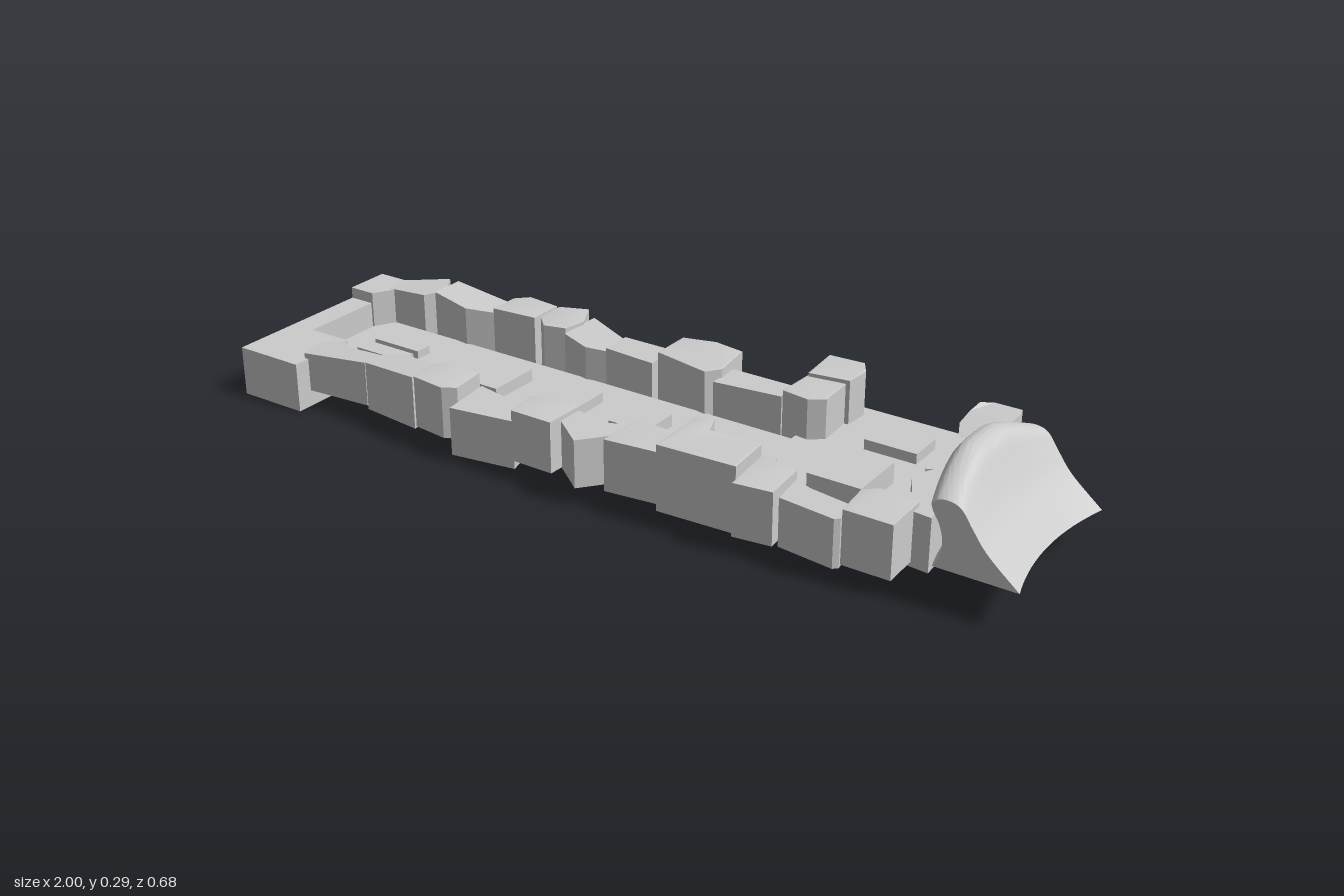
import * as THREE from 'three';
import { toCreasedNormals } from 'three/addons/utils/BufferGeometryUtils.js';

const stone = new THREE.MeshStandardMaterial({ color: 0xcccccc });
stone.name = 'pale stone';

// Upright block from an outline of [x, z] points; top is a height or a rule top(x, z)
function block(name, outline, bottom, top, bevel = 0) {
  const shape = new THREE.Shape(outline.map(([x, z]) => new THREE.Vector2(x, -z)));
  const geo = new THREE.ExtrudeGeometry(shape, {
    depth: 1 - 2 * bevel, bevelEnabled: bevel > 0, bevelSize: bevel, bevelOffset: -bevel,
    bevelThickness: bevel, bevelSegments: 2,
  });
  geo.translate(0, 0, bevel);
  geo.rotateX(-Math.PI / 2);
  const p = geo.attributes.position;
  for (let i = 0; i < p.count; i++) {
    const h = typeof top === 'function' ? top(p.getX(i), p.getZ(i)) : top;
    p.setY(i, bottom + p.getY(i) * (h - bottom));
  }
  const mesh = new THREE.Mesh(toCreasedNormals(geo, 0.5), stone);
  mesh.name = name;
  return mesh;
}

const rect = (x0, x1, z0, z1) => [[x0, z0], [x1, z0], [x1, z1], [x0, z1]];
// Height changing evenly from x0 to x1
const slope = (x0, h0, x1, h1) => (x) => THREE.MathUtils.mapLinear(x, x0, x1, h0, h1);

function floor() {
  return block('floor', [[-0.93, -0.1], [0.28, -0.1], [0.28, -0.335], [0.68, -0.335],
    [0.68, 0.24], [-0.93, 0.24]], 0.045, 0.06);
}

// Low slabs standing on the floor
function slabs() {
  const g = new THREE.Group();
  g.name = 'floorSlabs';
  const add = (x0, x1, z0, z1, h) => g.add(block('slab', rect(x0, x1, z0, z1), 0.055, h));
  add(-0.84, -0.7, 0, 0.043, 0.08);
  add(-0.84, -0.7, 0.06, 0.107, 0.08);
  add(-0.59, -0.55, -0.015, 0.12, 0.08);
  add(-0.55, -0.39, -0.015, 0.12, 0.09);
  add(-0.28, -0.18, -0.015, 0.12, 0.085);
  add(-0.075, 0.025, 0, 0.107, 0.09);
  add(0.13, 0.235, 0, 0.107, 0.085);
  add(0.44, 0.57, -0.235, -0.145, 0.085);
  add(0.44, 0.57, -0.04, 0.107, 0.11);
  // Stepped ledge behind the tallest stone
  add(0.25, 0.375, 0.12, 0.155, 0.13);
  add(0.25, 0.31, 0.155, 0.19, 0.15);
  add(0.31, 0.375, 0.155, 0.19, 0.11);
  return g;
}

function endWall() {
  const g = new THREE.Group();
  g.name = 'endWall';
  g.add(block('frontCorner', rect(-1, -0.82, 0.16, 0.335), 0, 0.122));
  g.add(block('endBeam', rect(-1, -0.935, -0.05, 0.16), 0.03, 0.122));
  g.add(block('backCorner', [[-1, -0.165], [-0.91, -0.165], [-0.9, -0.1], [-0.93, -0.05], [-1, -0.05]], 0.03, 0.15));
  return g;
}

function frontWall() {
  const g = new THREE.Group();
  g.name = 'frontWall';
  const add = (...a) => g.add(block('frontStone', ...a));
  add([[-0.84, 0.22], [-0.8, 0.195], [-0.74, 0.22], [-0.65, 0.225], [-0.65, 0.28], [-0.83, 0.295]], 0.04, slope(-0.83, 0.135, -0.65, 0.15));
  add([[-0.65, 0.225], [-0.6, 0.195], [-0.5, 0.21], [-0.49, 0.295], [-0.65, 0.278]], 0.03, slope(-0.65, 0.15, -0.49, 0.16));
  add([[-0.49, 0.22], [-0.46, 0.19], [-0.37, 0.2], [-0.36, 0.29], [-0.39, 0.31], [-0.48, 0.3]], 0.04, 0.167, 0.006);
  add([[-0.365, 0.2], [-0.21, 0.23], [-0.19, 0.305], [-0.35, 0.33]], 0.018, 0.135);
  add([[-0.2, 0.23], [-0.17, 0.2], [-0.1, 0.195], [-0.08, 0.22], [-0.083, 0.31], [-0.19, 0.31]], 0.04, 0.165, 0.006);
  add([[-0.08, 0.21], [0, 0.23], [0.07, 0.195], [0.07, 0.25], [0, 0.335], [-0.08, 0.275]], 0.04, 0.155);
  add([[0.065, 0.2], [0.09, 0.19], [0.185, 0.2], [0.185, 0.295], [0.06, 0.31]], 0.04, 0.165, 0.006);
  add([[0.19, 0.15], [0.23, 0.14], [0.25, 0.19], [0.375, 0.185], [0.385, 0.3], [0.195, 0.31]], 0.033, 0.192, 0.008);
  add([[0.375, 0.18], [0.47, 0.2], [0.48, 0.31], [0.39, 0.322]], 0.04, 0.165, 0.004);
  add([[0.475, 0.21], [0.52, 0.225], [0.62, 0.24], [0.63, 0.3], [0.62, 0.31], [0.485, 0.295]], 0.035, 0.148);
  add([[0.62, 0.2], [0.65, 0.175], [0.74, 0.18], [0.743, 0.295], [0.63, 0.295]], 0.04, 0.167, 0.008);
  return g;
}

function backWall() {
  const g = new THREE.Group();
  g.name = 'backWall';
  const add = (...a) => g.add(block('backStone', ...a));
  add([[-0.92, -0.165], [-0.82, -0.225], [-0.77, -0.15], [-0.8, -0.1], [-0.91, -0.1]], 0.03, slope(-0.92, 0.15, -0.77, 0.16));
  add([[-0.77, -0.2], [-0.59, -0.2], [-0.59, -0.13], [-0.66, -0.095], [-0.77, -0.11]], 0.03, slope(-0.77, 0.17, -0.59, 0.148));
  add([[-0.59, -0.2], [-0.56, -0.23], [-0.47, -0.22], [-0.47, -0.13], [-0.59, -0.12]], 0.03, 0.165, 0.006);
  add([[-0.47, -0.23], [-0.4, -0.258], [-0.365, -0.19], [-0.375, -0.13], [-0.43, -0.115], [-0.47, -0.155]], 0.025, 0.16, 0.006);
  add([[-0.37, -0.24], [-0.24, -0.19], [-0.24, -0.11], [-0.29, -0.095], [-0.37, -0.12]], 0.01, slope(-0.37, 0.15, -0.24, 0.14));
  add([[-0.24, -0.19], [-0.1, -0.19], [-0.1, -0.1], [-0.24, -0.11]], 0.03, 0.148);
  add([[-0.1, -0.23], [-0.02, -0.252], [0.06, -0.24], [0.075, -0.13], [0.05, -0.095], [-0.1, -0.125]], 0.025, 0.168, 0.008);
  add([[0.07, -0.185], [0.24, -0.185], [0.24, -0.12], [0.07, -0.1]], 0.03, 0.145);
  add([[0.245, -0.23], [0.34, -0.235], [0.345, -0.14], [0.31, -0.115], [0.24, -0.125]], 0.025, 0.16, 0.008);
  add([[0.24, -0.335], [0.33, -0.34], [0.355, -0.3], [0.35, -0.235], [0.25, -0.22]], 0.025, 0.17, 0.008);
  return g;
}

// Stones across the end nearest the blade
function bladeEndWall() {
  const g = new THREE.Group();
  g.name = 'bladeEndWall';
  const add = (...a) => g.add(block('endStone', ...a));
  // Humped long stone in two halves
  const hump = (x, z) => 0.17 - 2.2 * (z + 0.285) ** 2 * (z < -0.285 ? 2 : 0.7);
  add([[0.64, -0.3], [0.66, -0.338], [0.725, -0.338], [0.74, -0.3], [0.74, -0.25], [0.64, -0.25]], 0.015, hump);
  add([[0.64, -0.25], [0.74, -0.25], [0.735, -0.155], [0.66, -0.155], [0.64, -0.2]], 0.015, hump);
  add([[0.66, -0.155], [0.735, -0.155], [0.735, -0.01], [0.67, 0.02]], 0.03, 0.15);
  add([[0.66, 0.06], [0.71, -0.03], [0.775, 0.055], [0.775, 0.1], [0.7, 0.135]], 0.045, 0.15);
  add([[0.66, 0.13], [0.7, 0.135], [0.775, 0.1], [0.782, 0.21], [0.68, 0.2]], 0.03, 0.155);
  return g;
}

// Curved blade: a profile swept along z, crowned and bowed in the middle
function blade() {
  const pt = (x, y) => new THREE.Vector2(x, y);
  const shape = new THREE.Shape();
  shape.moveTo(0.775, 0.265);
  shape.splineThru([pt(0.79, 0.283), pt(0.815, 0.286), pt(0.84, 0.272), pt(0.865, 0.225), pt(0.9, 0.165), pt(0.97, 0.085)]);
  shape.lineTo(0.785, 0.085);
  shape.splineThru([pt(0.8, 0.12), pt(0.803, 0.165), pt(0.795, 0.21), pt(0.78, 0.245), pt(0.775, 0.265)]);
  const geo = new THREE.ExtrudeGeometry(shape, { depth: 0.4, steps: 20, bevelEnabled: false, curveSegments: 4 });
  const p = geo.attributes.position;
  for (let i = 0; i < p.count; i++) {
    const t = Math.abs(p.getZ(i) - 0.2) / 0.2;
    const crown = 1 - 0.25 * Math.max(0, (t - 0.25) / 0.75) ** 1.2;
    p.setXYZ(i, p.getX(i) + 0.03 * t * t, 0.085 + (p.getY(i) - 0.085) * crown, p.getZ(i) - 0.135);
  }
  const mesh = new THREE.Mesh(toCreasedNormals(geo, 0.8), stone);
  mesh.name = 'blade';
  return mesh;
}

export function createModel() {
  const model = new THREE.Group();
  model.name = 'stoneEnclosure';
  model.add(floor(), slabs(), endWall(), frontWall(), backWall(), bladeEndWall(), blade());
  return model;
}
